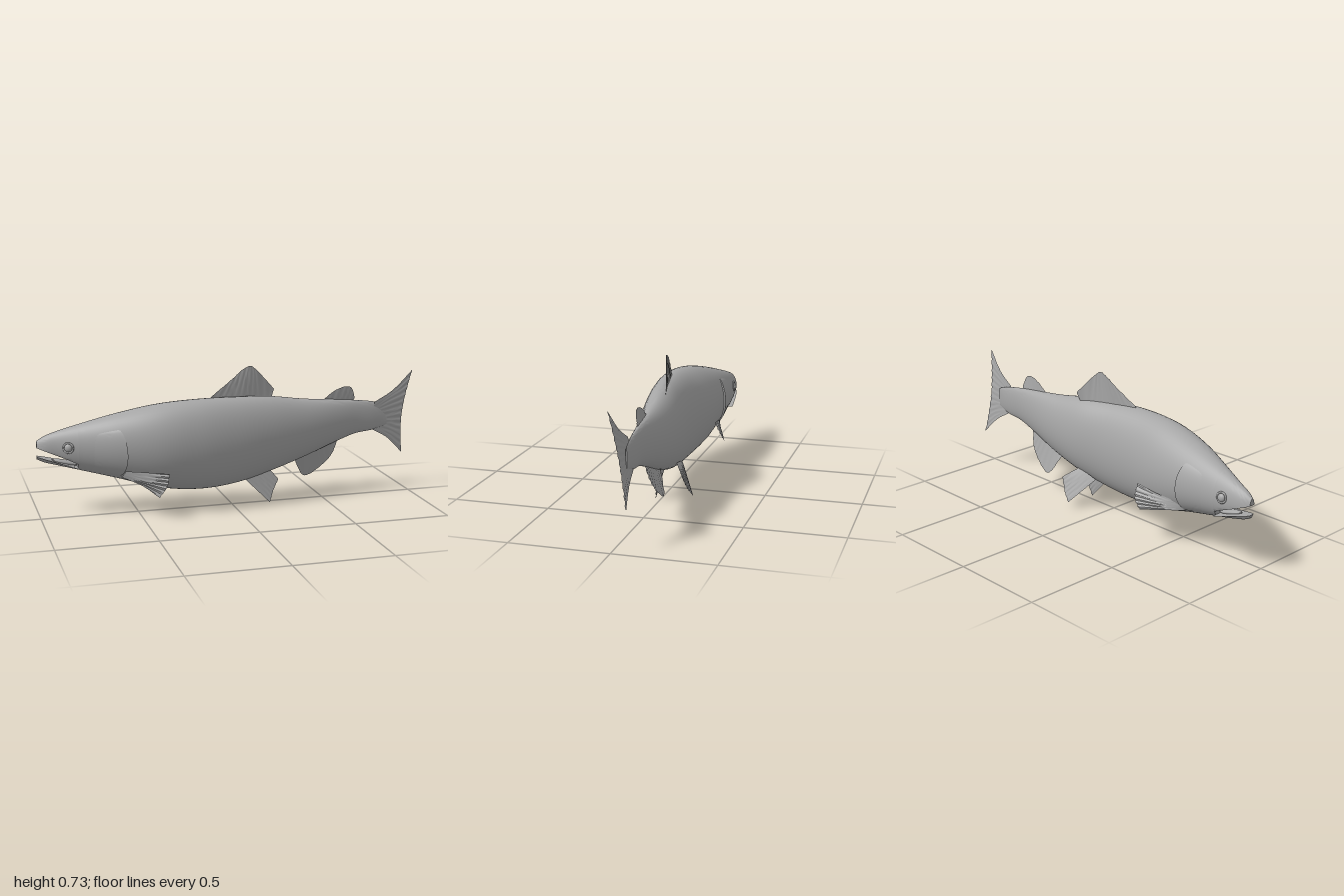
import * as THREE from 'three';
import { toCreasedNormals } from 'three/addons/utils/BufferGeometryUtils.js';

const grey = new THREE.MeshStandardMaterial({ color: 0xa6a6a6, side: THREE.DoubleSide });
grey.name = 'grey';

// Body stations: x, top y, bottom y, right z, left z
const stations = [
  [-1, 0.39, 0.295, -0.105, -0.07], [-0.97, 0.41, 0.28, -0.116, -0.053],
  [-0.9, 0.438, 0.26, -0.126, -0.027], [-0.8, 0.47, 0.235, -0.132, 0.018],
  [-0.6, 0.528, 0.185, -0.138, 0.105], [-0.4, 0.57, 0.13, -0.13, 0.157],
  [-0.2, 0.586, 0.108, -0.105, 0.16], [0, 0.584, 0.12, -0.1, 0.137],
  [0.2, 0.572, 0.163, -0.112, 0.1], [0.4, 0.543, 0.225, -0.1, 0.055],
  [0.6, 0.525, 0.3, -0.075, 0.01], [0.7, 0.515, 0.332, -0.065, -0.01],
  [0.8, 0.5, 0.345, -0.058, -0.024], [0.88, 0.475, 0.37, -0.045, -0.038],
];
const spline = new THREE.CubicInterpolant(
  stations.map((s) => s[0]), stations.flatMap((s) => s.slice(1)), 4, new Float32Array(4));

// Point on the skin at station x and angle a (0 = left side, PI / 2 = back)
function skin(x, a, scale = 1, lift = 0) {
  const [top, bottom, z0, z1] = spline.evaluate(x);
  const s = Math.sin(a), c = Math.cos(a);
  return new THREE.Vector3(x,
    (top + bottom) / 2 + s * ((top - bottom) / 2 * scale + lift),
    (z0 + z1) / 2 + c * ((z1 - z0) / 2 * scale + lift) + 0.06 * (z1 - z0) * s * scale);
}

// Surface through f(u, v), facing du x dv
function grid(nu, nv, f) {
  const pos = [], index = [];
  for (let i = 0; i <= nu; i++) {
    for (let j = 0; j <= nv; j++) pos.push(...f(i / nu, j / nv).toArray());
  }
  for (let i = 0; i < nu; i++) {
    for (let j = 0; j < nv; j++) {
      const p = i * (nv + 1) + j, q = p + nv + 1;
      index.push(p, q, p + 1, q, q + 1, p + 1);
    }
  }
  const g = new THREE.BufferGeometry();
  g.setAttribute('position', new THREE.Float32BufferAttribute(pos, 3));
  g.setIndex(index);
  return toCreasedNormals(g, 0.8);
}

// Closed length of body with y kept inside a limit
function loft(x0, x1, n, limit = (x, y) => y) {
  return grid(n + 2, 48, (u, v) => {
    const k = Math.round(u * (n + 2));
    const t = THREE.MathUtils.clamp((k - 1) / n, 0, 1);
    const p = skin(x0 + (x1 - x0) * t, v * Math.PI * 2, k === 0 || k === n + 2 ? 0 : 1);
    p.y = limit(p.x, p.y);
    return p;
  });
}

// Ribbed fin through rails of points running from root to outer edge
function fin(rails, rays = 9, ridge = 0.0018) {
  const curves = rails.map((r) =>
    new THREE.CatmullRomCurve3(r.map((p) => new THREE.Vector3(...p)), false, 'centripetal'));
  return grid(6, rays * 4, (u, v) => {
    const across = new THREE.CatmullRomCurve3(curves.map((c) => c.getPoint(v)));
    const p = across.getPoint(u);
    p.z += ridge * Math.sin(v * rays * Math.PI * 2) * u;
    return p;
  });
}

export function createModel() {
  const fish = new THREE.Group();
  fish.name = 'fish';
  const add = (name, geometry, parent = fish) => {
    const mesh = new THREE.Mesh(geometry, grey);
    mesh.name = name;
    parent.add(mesh);
    return mesh;
  };

  // Body and open mouth
  const mouthBack = -0.8;
  const upperLip = (x) => 0.272 + 0.085 * Math.pow((mouthBack - x) / 0.2, 0.9);
  const lowerLip = (x) => 0.254 + 0.056 * ((mouthBack - x) / 0.2);
  add('body', loft(mouthBack, 0.88, 80));
  add('upperHead', loft(-1, mouthBack, 16, (x, y) => Math.max(y, upperLip(Math.min(x, mouthBack)))));
  add('lowerJaw', loft(-1, mouthBack, 16, (x, y) => Math.min(y, lowerLip(Math.min(x, mouthBack)))));
  const tongue = add('tongue', new THREE.SphereGeometry(1, 16, 10));
  tongue.scale.set(0.07, 0.012, 0.022);
  tongue.position.set(-0.86, 0.276, -0.068);
  tongue.rotation.z = -0.25;

  for (const side of [1, -1]) {
    const label = side > 0 ? 'left' : 'right';
    const around = (a) => (side > 0 ? a : Math.PI - a);

    // Gill cover, lifting towards its rear edge and then stepping down
    add(label + 'GillCover', grid(14, 24, (u, v) => {
      const a = -1.05 + 1.75 * v, bulge = Math.sin(v * Math.PI);
      const rear = -0.615 + 0.045 * Math.pow(bulge, 0.6);
      const t = Math.min(u * 14 / 13, 1);
      const lift = u === 1 ? -0.004 : -0.002 + 0.011 * t * Math.pow(bulge, 0.4);
      return skin(-0.76 + (rear + 0.76) * t, around(a), 1, lift);
    }));

    // Eye: rim and domed ball
    const x = -0.85, a = 0.12;
    const at = skin(x, around(a));
    const dx = skin(x + 0.02, around(a)).sub(at);
    const da = skin(x, around(a + 0.05)).sub(at);
    const normal = dx.cross(da).normalize().multiplyScalar(side);
    const eye = new THREE.Group();
    eye.name = label + 'Eye';
    eye.position.copy(at);
    eye.quaternion.setFromUnitVectors(new THREE.Vector3(0, 0, 1), normal);
    add('eyeRim', new THREE.TorusGeometry(0.025, 0.005, 8, 28), eye);
    add('eyeBall', new THREE.SphereGeometry(0.021, 20, 14), eye).scale.z = 0.65;
    fish.add(eye);
  }

  // Tail fin, twisted slightly out of the upright plane
  const tail = (pts) => pts.map(([x, y]) => [x, y, -0.035 + (y - 0.43) * 0.16]);
  add('tailFin', fin([
    tail([[0.8, 0.5], [0.8, 0.46], [0.8, 0.42], [0.8, 0.38], [0.8, 0.345]]),
    tail([[0.9, 0.562], [0.88, 0.5], [0.88, 0.42], [0.88, 0.36], [0.89, 0.293]]),
    tail([[1, 0.67], [0.976, 0.54], [0.965, 0.43], [0.969, 0.32], [0.985, 0.2]]),
  ], 12));

  // Fins on the back
  add('dorsalFin', fin([
    [[-0.14, 0.565, 0.036], [0.04, 0.56, 0.005], [0.22, 0.55, -0.03]],
    [[-0.12, 0.592, 0.036], [0, 0.675, 0.012], [0.06, 0.72, 0.002], [0.1, 0.735, 0],
      [0.13, 0.715, -0.008], [0.24, 0.6, -0.04]],
  ], 10));
  add('adiposeFin', fin([
    [[0.5, 0.52, -0.022], [0.6, 0.51, -0.03], [0.68, 0.505, -0.035]],
    [[0.515, 0.536, -0.02], [0.57, 0.575, -0.02], [0.63, 0.595, -0.018],
      [0.665, 0.586, -0.02], [0.688, 0.53, -0.03]],
  ], 6, 0.001));

  // Fins on the belly
  add('analFin', fin([
    [[0.35, 0.24, -0.03], [0.48, 0.29, -0.035], [0.6, 0.33, -0.035]],
    [[0.355, 0.215, -0.045], [0.43, 0.105, -0.085], [0.52, 0.155, -0.075],
      [0.575, 0.22, -0.06], [0.598, 0.3, -0.04]],
  ]));
  add('leftPelvicFin', fin([
    [[0.05, 0.155, 0.015], [0.12, 0.17, 0.015], [0.2, 0.185, 0.012]],
    [[0.2, 0.005, 0.028], [0.222, 0.07, 0.022], [0.25, 0.125, 0.016]],
  ], 6));
  add('rightPelvicFin', fin([
    [[0.06, 0.17, -0.075], [0.12, 0.19, -0.08], [0.19, 0.2, -0.08]],
    [[0.18, 0.03, -0.165], [0.225, 0.08, -0.148], [0.26, 0.145, -0.13]],
  ], 6));

  // Fins behind the gills
  add('leftPectoralFin', fin([
    [[-0.6, 0.215, 0.075], [-0.59, 0.23, 0.09], [-0.58, 0.25, 0.1]],
    [[-0.5, 0.175, 0.133], [-0.49, 0.2, 0.14], [-0.48, 0.248, 0.145]],
    [[-0.425, 0.12, 0.173], [-0.385, 0.185, 0.188], [-0.375, 0.243, 0.184]],
  ], 6, 0.003));
  add('rightPectoralFin', fin([
    [[-0.6, 0.21, -0.1], [-0.59, 0.23, -0.11], [-0.58, 0.25, -0.115]],
    [[-0.48, 0.19, -0.15], [-0.46, 0.22, -0.145], [-0.44, 0.262, -0.135]],
    [[-0.375, 0.172, -0.19], [-0.33, 0.22, -0.178], [-0.32, 0.285, -0.147]],
  ], 6, 0.003));

  return fish;
}
